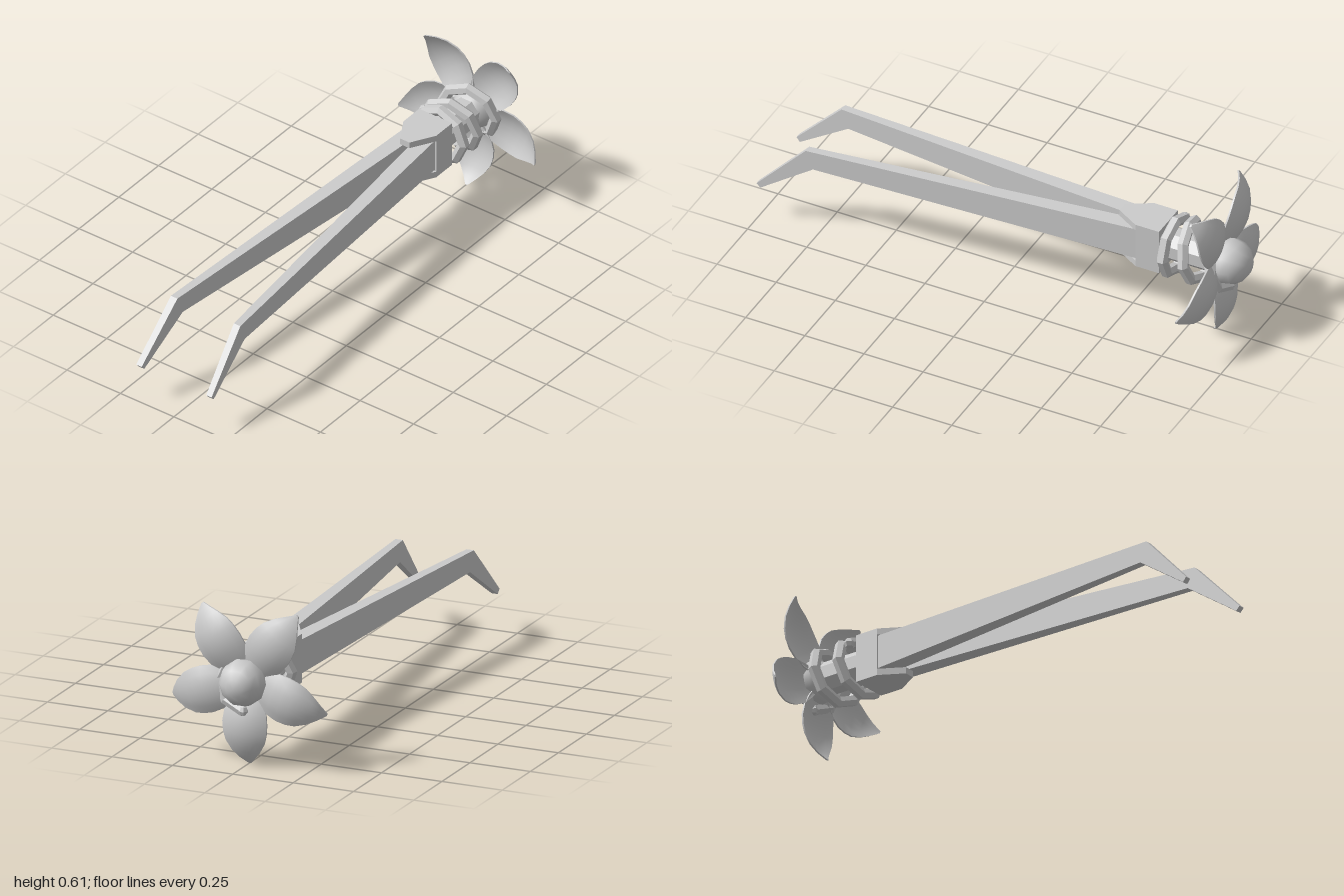
import * as THREE from 'three';

const AXIS_Y = 0.335;
const flat = new THREE.MeshStandardMaterial({ color: 0xcccccc, flatShading: true });
const smooth = new THREE.MeshStandardMaterial({ color: 0xcccccc });

function add(parent, name, geometry, material) {
  const mesh = new THREE.Mesh(geometry, material);
  mesh.name = name;
  parent.add(mesh);
  return mesh;
}

function shapeOf(points) {
  return new THREE.Shape(points.map(([x, y]) => new THREE.Vector2(x, y)));
}

// Long arm with a bent tip: side profile extruded, then splayed outwards along z
function armGeometry(side) {
  const profile = shapeOf([
    [-1, 0.166], [-0.985, 0.149], [-0.77, 0.297], [0.58, 0.27], [0.58, 0.406], [-0.8, 0.375],
  ]);
  const geo = new THREE.ExtrudeGeometry(profile, { depth: 1, bevelEnabled: false });
  const p = geo.attributes.position;
  for (let i = 0; i < p.count; i++) {
    const z = -p.getX(i);
    const w = side > 0 ? p.getZ(i) : 1 - p.getZ(i);
    const inner = 0.003 + (z + 0.55) * 0.0955;
    const outer = 0.07 + (z + 0.55) * 0.0685;
    p.setXYZ(i, side * THREE.MathUtils.lerp(inner, outer, w), p.getY(i), z);
  }
  geo.computeVertexNormals();
  return geo;
}

// Tapered plate lying flat, spanning y0 to y1
function plateGeometry(y0, y1) {
  const outline = shapeOf([
    [-0.077, 0.65], [-0.077, 0.55], [-0.022, 0.455], [0.022, 0.455], [0.077, 0.55], [0.077, 0.65],
  ].reverse());
  const geo = new THREE.ExtrudeGeometry(outline, { depth: y1 - y0, bevelEnabled: false });
  return geo.rotateX(-Math.PI / 2).translate(0, y0, 0);
}

// Coil with one flat turn followed by two climbing turns
class CoilCurve extends THREE.Curve {
  getPoint(t, target = new THREE.Vector3()) {
    const turn = -0.125 + t * 2.625;
    const a = turn * Math.PI * 2;
    const z = -0.68 - Math.max(0, turn - 0.5) * 0.115;
    return target.set(0.108 * Math.sin(a), AXIS_Y - 0.003 + 0.108 * Math.cos(a), z);
  }
}

// Cupped petal along +y: rows of [radius, half width, z]
function petalGeometry() {
  const rows = [
    [0.03, 0.035, -0.872], [0.075, 0.065, -0.893], [0.12, 0.086, -0.911],
    [0.165, 0.092, -0.92], [0.205, 0.089, -0.918], [0.24, 0.08, -0.91],
    [0.28, 0.056, -0.892], [0.31, 0.03, -0.87], [0.335, 0.005, -0.846],
  ];
  const last = rows.length - 1;
  const geo = new THREE.BoxGeometry(2, 1, 1, 6, last, 1);
  const p = geo.attributes.position;
  for (let i = 0; i < p.count; i++) {
    const [r, half, z] = rows[Math.round((p.getY(i) + 0.5) * last)];
    const x = p.getX(i) * half;
    p.setXYZ(i, x, r, z + 3.2 * x * x + p.getZ(i) * 0.007);
  }
  geo.computeVertexNormals();
  return geo;
}

export function createModel() {
  const model = new THREE.Group();
  model.name = 'flowerTweezers';

  // Arms
  add(model, 'leftArm', armGeometry(1), flat);
  add(model, 'rightArm', armGeometry(-1), flat);

  // Clamp: two tapered plates joined by a block
  const clamp = new THREE.Group();
  clamp.name = 'clamp';
  model.add(clamp);
  add(clamp, 'topPlate', plateGeometry(0.406, 0.432), flat);
  add(clamp, 'bottomPlate', plateGeometry(0.239, 0.265), flat);
  add(clamp, 'clampBlock', new THREE.BoxGeometry(0.154, 0.141, 0.1), flat).position.set(0, 0.3355, -0.6);

  // Stem inside the spring
  const stem = add(model, 'stem', new THREE.CylinderGeometry(0.065, 0.065, 0.27, 8), flat);
  stem.rotation.set(Math.PI / 2, Math.PI / 8, 0);
  stem.position.set(0, AXIS_Y, -0.775);

  // Spring with capped ends
  const coil = new CoilCurve();
  add(model, 'spring', new THREE.TubeGeometry(coil, 21, 0.023, 6, false), flat);
  for (const t of [0, 1]) {
    const cap = add(model, 'springEnd', new THREE.SphereGeometry(0.022, 6, 4), flat);
    cap.position.copy(coil.getPoint(t));
  }

  // Flower: five petals around a round centre
  const flower = new THREE.Group();
  flower.name = 'flower';
  flower.position.y = AXIS_Y;
  model.add(flower);
  const petal = petalGeometry();
  for (let i = 0; i < 5; i++) {
    add(flower, 'petal', petal, smooth).rotation.z = Math.PI + (i * Math.PI * 2) / 5;
  }
  const centre = add(flower, 'flowerCentre', new THREE.SphereGeometry(0.092, 10, 8), smooth);
  centre.rotation.x = Math.PI / 2;
  centre.position.z = -0.908;

  return model;
}
